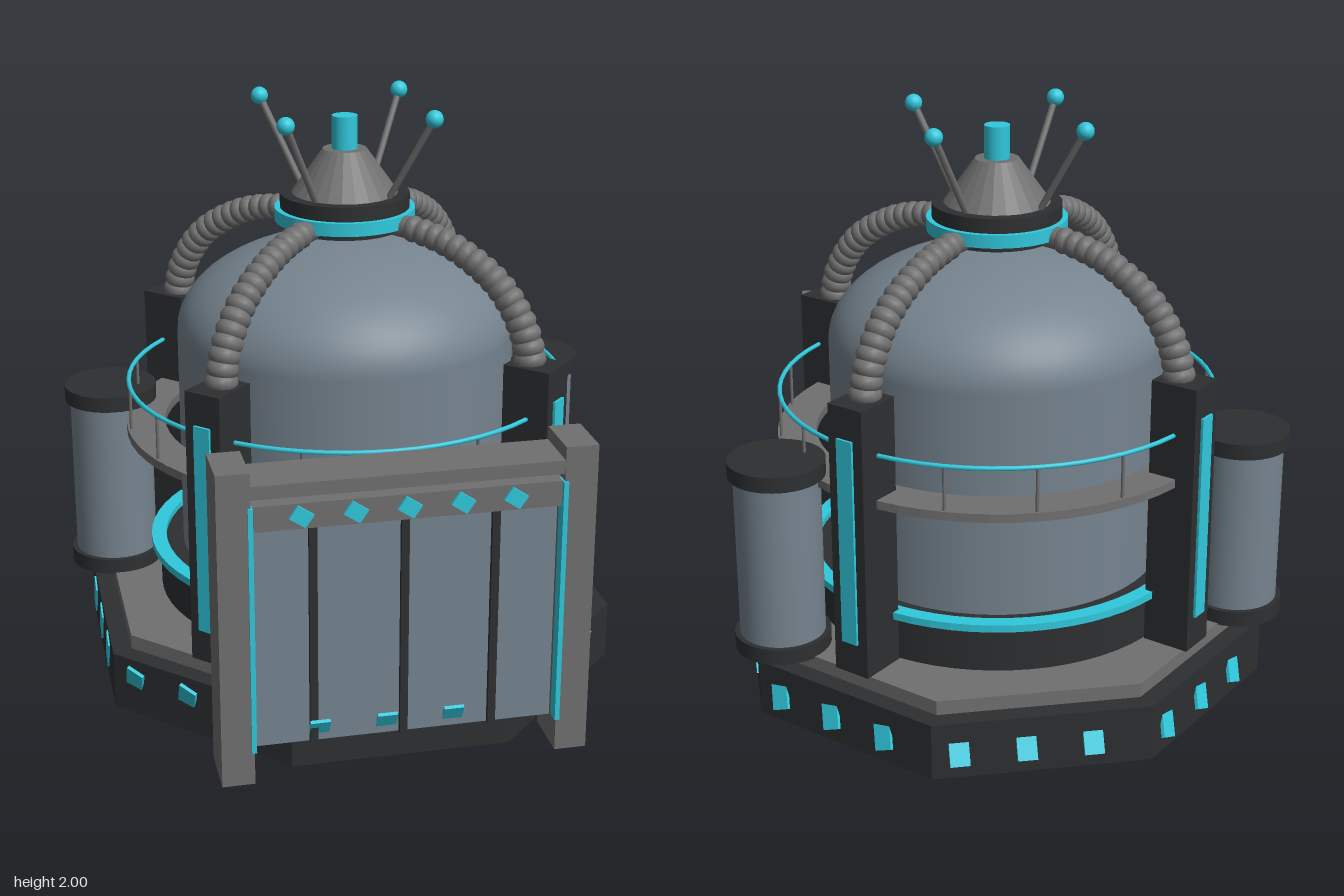
import * as THREE from 'three';

const material = (color, flat = false) => new THREE.MeshStandardMaterial({ color, flatShading: flat, side: THREE.DoubleSide });
const dark = material(0x2d2f31), darkFlat = material(0x2d2f31, true);
const grey = material(0x707070), greyFlat = material(0x707070, true);
const steel = material(0x76848f), cyan = material(0x30c8dc);

function add(parent, name, geometry, mat, x = 0, y = 0, z = 0) {
  const mesh = new THREE.Mesh(geometry, mat);
  mesh.name = name;
  mesh.position.set(x, y, z);
  parent.add(mesh);
  return mesh;
}

// Box and upright cylinder given by their lower and upper limits
const box = (p, name, mat, [x0, x1], [y0, y1], [z0, z1]) => add(p, name,
  new THREE.BoxGeometry(x1 - x0, y1 - y0, z1 - z0), mat, (x0 + x1) / 2, (y0 + y1) / 2, (z0 + z1) / 2);
const drum = (p, name, mat, rBottom, rTop, y0, y1, sides = 48, x = 0, z = 0) => add(p, name,
  new THREE.CylinderGeometry(rTop, rBottom, y1 - y0, sides), mat, x, (y0 + y1) / 2, z);

// Flat ring with a square section
function ring(p, name, mat, inner, outer, y0, y1) {
  const points = [[inner, y0], [outer, y0], [outer, y1], [inner, y1], [inner, y0]];
  const shape = points.map(([r, y]) => new THREE.Vector2(r, y));
  const geometry = new THREE.LatheGeometry(shape, 64).toNonIndexed();
  geometry.computeVertexNormals();
  return add(p, name, geometry, mat);
}

// Thin rod between two points
function rod(p, name, mat, a, b, radius) {
  return add(p, name, new THREE.TubeGeometry(new THREE.LineCurve3(a, b), 1, radius, 8), mat);
}

function buildBase(p) {
  const apothem = 0.885, toCorner = 1 / Math.cos(Math.PI / 8);
  for (const [name, mat, r, y0, y1] of [['baseOctagon', darkFlat, apothem, 0, 0.2], ['basePlate', greyFlat, 0.82, 0.2, 0.25]]) {
    drum(p, name, mat, r * toCorner, r * toCorner, y0, y1, 8).rotation.y = Math.PI / 8;
  }
  // Three tilted plates on each of the eight sides
  for (let side = 0; side < 8; side++) {
    const a = side * Math.PI / 4;
    for (const t of [-0.277, -0.055, 0.167]) {
      const plate = add(p, 'basePlateLight', new THREE.BoxGeometry(0.066, 0.133, 0.012), cyan,
        Math.sin(a) * apothem + Math.cos(a) * t, 0.117, Math.cos(a) * apothem - Math.sin(a) * t);
      plate.rotation.set(Math.PI / 6, a, 0);
    }
  }
}

function buildTank(p) {
  drum(p, 'tankFoot', dark, 0.665, 0.665, 0.25, 0.415, 64);
  ring(p, 'tankFootTrim', cyan, 0.645, 0.697, 0.41, 0.436);
  const profile = [new THREE.Vector2(0.583, 0.4)];
  for (let i = 0; i <= 16; i++) {
    const a = i / 16 * Math.PI / 2;
    profile.push(new THREE.Vector2(0.583 * Math.cos(a), 1.2 + 0.325 * Math.sin(a)));
  }
  add(p, 'domedTank', new THREE.LatheGeometry(profile, 64), steel);
}

function buildBalcony(p) {
  ring(p, 'balconyFloor', grey, 0.635, 0.77, 0.842, 0.872);
  add(p, 'handrail', new THREE.TorusGeometry(0.758, 0.008, 8, 64), cyan, 0, 1.025, 0).rotation.x = Math.PI / 2;
  for (let i = 0; i < 16; i++) {
    const a = i * Math.PI / 8;
    drum(p, 'railPost', grey, 0.006, 0.006, 0.87, 1.025, 6, 0.758 * Math.sin(a), 0.758 * Math.cos(a));
  }
}

function buildCap(p) {
  drum(p, 'capUnderside', dark, 0.2, 0.2, 1.56, 1.59);
  drum(p, 'capTrim', cyan, 0.241, 0.241, 1.585, 1.63);
  drum(p, 'capCollar', dark, 0.222, 0.222, 1.63, 1.68);
  drum(p, 'capCone', greyFlat, 0.182, 0.075, 1.68, 1.83, 24);
  drum(p, 'beacon', cyan, 0.044, 0.044, 1.83, 1.943, 24);
}

// Pillar, hose and antenna on one diagonal, with +z pointing outward
function buildDiagonal(p, angle) {
  const arm = new THREE.Group();
  arm.name = 'supportArm';
  arm.rotation.y = angle;
  p.add(arm);
  box(arm, 'pillar', dark, [-0.068, 0.068], [0.25, 1.2], [0.666, 0.834]);
  box(arm, 'pillarLight', cyan, [-0.031, 0.031], [0.365, 1.09], [0.83, 0.843]);

  const path = new THREE.CatmullRomCurve3([[0.735, 1.17], [0.705, 1.3], [0.61, 1.44], [0.44, 1.545], [0.29, 1.585], [0.17, 1.595]]
    .map(([z, y]) => new THREE.Vector3(0, y, z)));
  add(arm, 'hoseCore', new THREE.TubeGeometry(path, 40, 0.038, 12), grey);
  // Overlapping beads make the ribs
  const beads = 17, forward = new THREE.Vector3(0, 0, 1);
  for (let i = 0; i < beads; i++) {
    const u = i / beads * 0.92;
    const radius = 0.056 - 0.012 * u;
    const bead = add(arm, 'hoseRib', new THREE.SphereGeometry(radius, 14, 8), grey);
    bead.position.copy(path.getPointAt(u));
    bead.quaternion.setFromUnitVectors(forward, path.getTangentAt(u));
    bead.scale.z = 0.75;
  }

  rod(arm, 'antennaRod', grey, new THREE.Vector3(0, 1.66, 0.165), new THREE.Vector3(0, 1.97, 0.35), 0.012);
  add(arm, 'antennaBall', new THREE.SphereGeometry(0.03, 16, 12), cyan, 0, 1.97, 0.35);
}

function buildSideCylinder(p, side) {
  const x = side * 0.797, z = -0.325;
  drum(p, 'sideCylinder', steel, 0.146, 0.146, 0.29, 0.88, 40, x, z);
  drum(p, 'sideCylinderFoot', dark, 0.164, 0.164, 0.245, 0.3, 40, x, z);
  drum(p, 'sideCylinderLid', dark, 0.164, 0.164, 0.875, 0.93, 40, x, z);
}

function buildGate(p) {
  for (const s of [-1, 1]) {
    const post = box(p, 'gatePost', grey, [-0.0535, 0.0535], [0, 1.075], [0.75, 0.937]);
    post.position.x = s * 0.5535;
    box(p, 'gateSideLight', cyan, [s * 0.502 - 0.008, s * 0.502 + 0.008], [0.115, 0.96], [0.9, 0.946]);
  }
  box(p, 'gateLintel', grey, [-0.5, 0.5], [0.985, 1.03], [0.75, 0.935]);
  box(p, 'gateHeader', grey, [-0.5, 0.5], [0.875, 0.96], [0.8, 0.93]);
  box(p, 'gatePanel', steel, [-0.5, 0.5], [0.095, 0.88], [0.8, 0.868]);
  for (const x of [-0.296, 0, 0.296]) {
    box(p, 'gateBar', dark, [x - 0.013, x + 0.013], [0.095, 0.875], [0.86, 0.885]);
  }
  for (let i = -2; i <= 2; i++) {
    add(p, 'gateHeaderLight', new THREE.BoxGeometry(0.062, 0.05, 0.014), cyan, i * 0.171, 0.918, 0.933).rotation.z = -0.6;
  }
}

export function createModel() {
  const model = new THREE.Group();
  model.name = 'storageTank';

  const body = new THREE.Group();
  body.name = 'tankBody';
  body.position.z = -0.025;
  model.add(body);
  buildBase(body);
  buildTank(body);
  buildBalcony(body);
  buildCap(body);
  for (let i = 0; i < 4; i++) buildDiagonal(body, Math.PI / 4 + i * Math.PI / 2);
  for (const side of [-1, 1]) buildSideCylinder(body, side);

  const gate = new THREE.Group();
  gate.name = 'frontGate';
  model.add(gate);
  buildGate(gate);
  return model;
}
